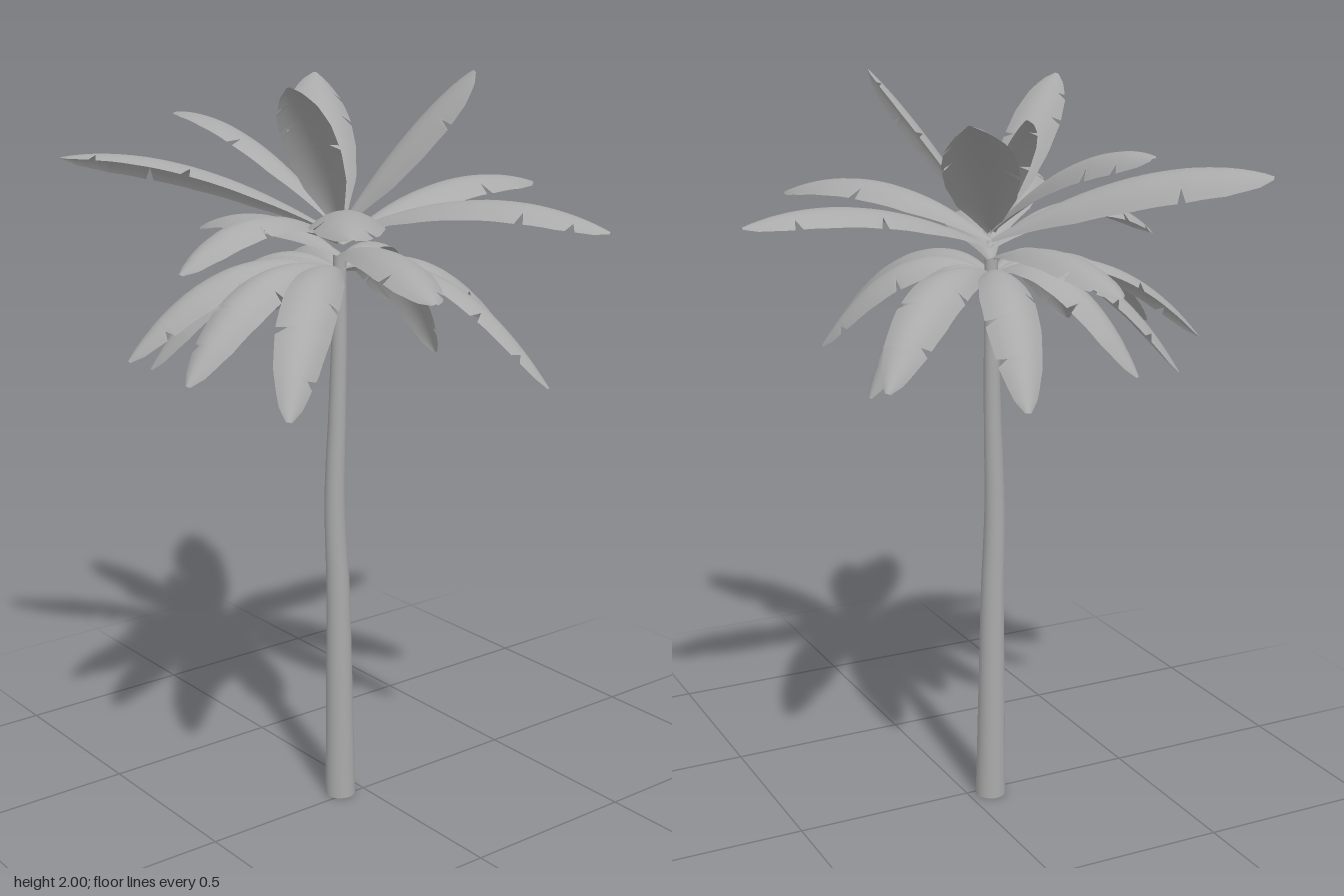
import * as THREE from 'three';

const UP = new THREE.Vector3(0, 1, 0);
const CROWN = { x: -0.02, z: 0.06 };

// Each leaf: [tip x, tip y, tip z, base y, height of the arch control point, width, roll]
const UPPER = [
  [-0.03, 1.66, -0.62, 1.56, 1.76, 0.17, 0],
  [-0.58, 1.94, -0.28, 1.6, 1.86, 0.18, 0.15],
  [-0.28, 1.91, 0.02, 1.6, 1.82, 0.1, 0.25],
  [-0.63, 1.85, 0.16, 1.6, 1.88, 0.15, 0.35],
  [-0.52, 1.77, 0.58, 1.58, 1.82, 0.18, 0.35],
  [0.15, 1.98, 0.34, 1.6, 1.86, 0.13, 0.35],
  [0.23, 2.0, -0.17, 1.6, 1.86, 0.13, 0.6],
  [0.63, 1.64, -0.26, 1.58, 1.78, 0.17, 0],
  [0.51, 1.68, 0.43, 1.57, 1.77, 0.18, 0],
];
const MIDDLE = [
  [-0.61, 1.53, 0.1, 1.53, 1.66, 0.14, 0],
  [0.61, 1.53, 0.27, 1.53, 1.66, 0.15, 0],
  [0.05, 1.55, 0.59, 1.56, 1.76, 0.15, 0],
];
const LOWER = [
  [-0.37, 1.3, -0.39, -0.3], [-0.57, 1.27, -0.12, -0.1], [-0.42, 1.28, 0.27, -0.1],
  [-0.28, 1.24, 0.48, -0.2], [-0.17, 1.3, 0.61, -0.2], [0.1, 1.29, 0.61, -0.2],
  [0.39, 1.25, 0.52, -0.3], [0.56, 1.26, -0.14, -0.35], [0.25, 1.28, -0.31, -0.3],
  [-0.07, 1.21, -0.31, -0.1],
].map(([x, y, z, roll]) => [x, y, z, 1.49, 1.62, 0.14, roll]);

// Half-width of the blade along its length, as a share of the greatest
const OUTLINE = [[0, 0.12], [0.1, 0.38], [0.28, 0.82], [0.48, 1], [0.68, 0.98],
  [0.84, 0.78], [0.94, 0.48], [0.98, 0.3], [1, 0.1]];

function outline(t) {
  const k = Math.max(1, OUTLINE.findIndex((p) => p[0] >= t));
  const [a, b] = [OUTLINE[k - 1], OUTLINE[k]];
  return THREE.MathUtils.lerp(a[1], b[1], (t - a[0]) / (b[0] - a[0]));
}

function leafGeometry([x, y, z, baseY, archY, width, roll], seed) {
  const base = new THREE.Vector3(CROWN.x, baseY, CROWN.z);
  const tip = new THREE.Vector3(x, y, z);
  const arch = base.clone().lerp(tip, 0.54).setY(archY);
  const spine = new THREE.QuadraticBezierCurve3(base, arch, tip);
  const level = new THREE.Vector3().crossVectors(UP, tip.clone().sub(base).setY(0)).normalize();

  // Small tears in the edges: position along the leaf and which side
  const shift = (seed * 0.37) % 0.12;
  const tears = [[0.45 + shift, 1], [0.62 + shift, -1], [0.8 + shift, seed % 2 ? 1 : -1]];
  let rows = Array.from({ length: 25 }, (_, i) => ({ t: i / 24, cut: 0 }));
  for (const [t, cut] of tears) {
    rows = rows.filter((r) => r.t < t - 0.014 || r.t > t + 0.022 || r.t === 1);
    rows.push({ t: t - 0.012, cut: 0 }, { t, cut }, { t: t + 0.02, cut: 0 });
  }
  rows.sort((a, b) => a.t - b.t);

  // Rows of points across the blade, which curls down towards both edges
  const across = 8, points = [], index = [];
  rows.forEach(({ t, cut }, i) => {
    const centre = spine.getPoint(t);
    const along = spine.getTangent(t);
    const side = level.clone().applyAxisAngle(along, roll);
    const normal = new THREE.Vector3().crossVectors(along, side).normalize();
    const half = outline(t) * width / 2;
    for (let j = 0; j <= across; j++) {
      let u = (j / across) * 2 - 1;
      if (u * cut > 0) u *= 0.6;
      const p = centre.clone().addScaledVector(side, u * half)
        .addScaledVector(normal, -0.45 * u * u * half);
      points.push(p.x, p.y, p.z);
      if (i < rows.length - 1 && j < across) {
        const a = i * (across + 1) + j, b = a + across + 1;
        index.push(a, b, a + 1, b, b + 1, a + 1);
      }
    }
  });
  const geometry = new THREE.BufferGeometry();
  geometry.setAttribute('position', new THREE.Float32BufferAttribute(points, 3));
  geometry.setIndex(index);
  geometry.computeVertexNormals();
  return geometry;
}

// Gently bent, tapering trunk, open at the foot
function trunkGeometry() {
  const height = 1.53;
  const path = new THREE.CatmullRomCurve3([
    [-0.022, 0, 0.064], [-0.025, 0.31, 0.064], [-0.032, 0.62, 0.062], [-0.047, 0.86, 0.06],
    [-0.037, 1.1, 0.058], [-0.024, 1.32, 0.06], [-0.02, 1.53, 0.06],
  ].map((p) => new THREE.Vector3(...p)));
  const samples = path.getPoints(120);
  const geometry = new THREE.CylinderGeometry(0.017, 0.042, height, 18, 30, true);
  geometry.translate(0, height / 2, 0);
  const pos = geometry.attributes.position;
  for (let i = 0; i < pos.count; i++) {
    const y = pos.getY(i);
    const c = samples.reduce((a, b) => (Math.abs(b.y - y) < Math.abs(a.y - y) ? b : a));
    pos.setX(i, pos.getX(i) + c.x);
    pos.setZ(i, pos.getZ(i) + c.z);
  }
  return geometry;
}

export function createModel() {
  const grey = new THREE.MeshStandardMaterial({ color: 0xaaaaaa, side: THREE.DoubleSide });
  grey.name = 'plain grey';
  const tree = new THREE.Group();
  tree.name = 'palmTree';

  const trunk = new THREE.Mesh(trunkGeometry(), grey);
  trunk.name = 'trunk';
  tree.add(trunk);

  let seed = 0;
  for (const [name, leaves] of Object.entries({ upperLeaves: UPPER, middleLeaves: MIDDLE, lowerLeaves: LOWER })) {
    const tier = new THREE.Group();
    tier.name = name;
    for (const leaf of leaves) {
      const mesh = new THREE.Mesh(leafGeometry(leaf, ++seed), grey);
      mesh.name = 'leaf';
      tier.add(mesh);
    }
    tree.add(tier);
  }
  return tree;
}
